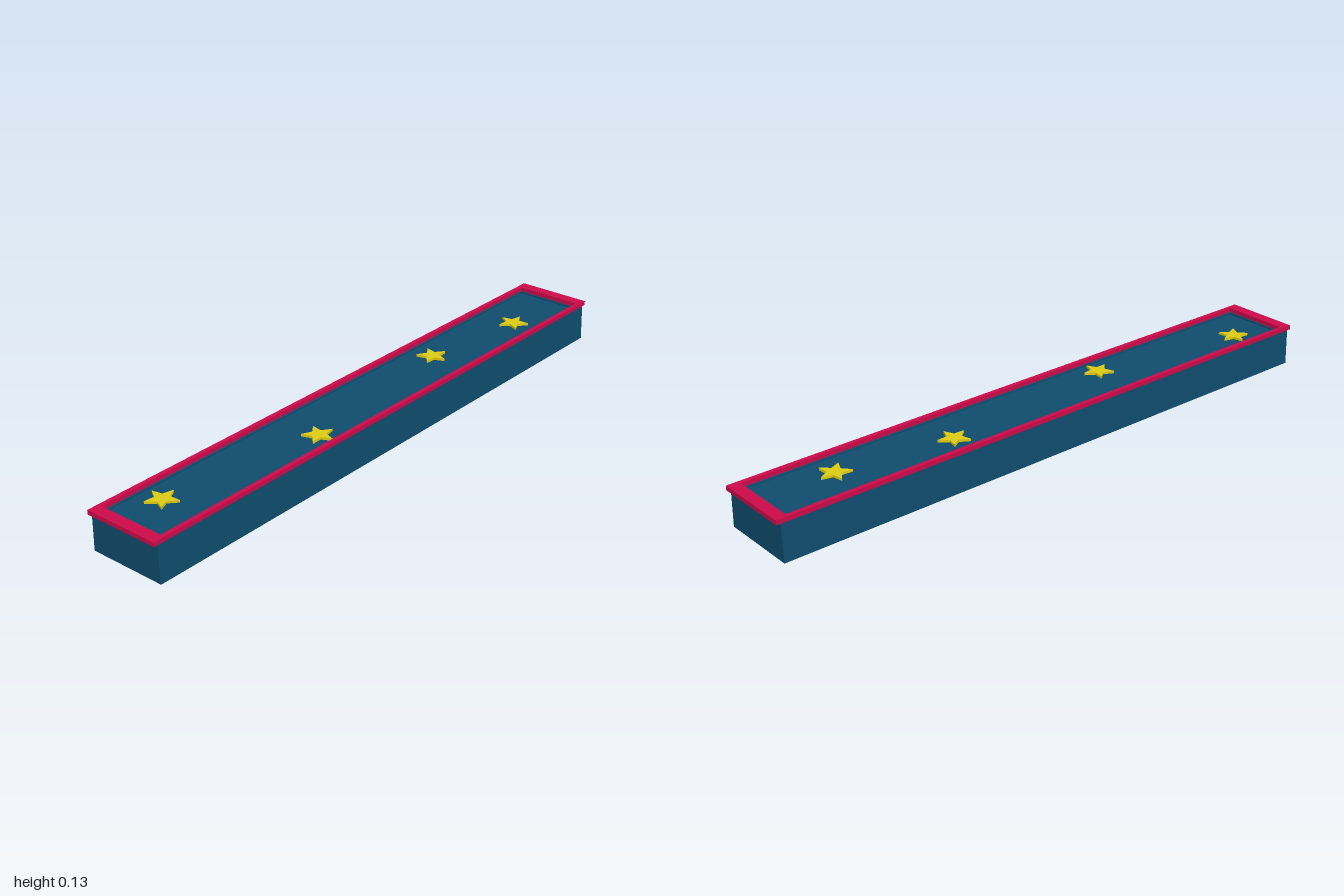
import * as THREE from 'three';

const material = (name, color) => Object.assign(new THREE.MeshStandardMaterial({ color }), { name });

// Rectangle outline from its half width and half depth
const rect = (Type, w, d) =>
  new Type([[-w, -d], [w, -d], [w, d], [-w, d]].map(([x, y]) => new THREE.Vector2(x, y)));

// Extrude a flat outline upwards
const plate = (shape, height) =>
  new THREE.ExtrudeGeometry(shape, { depth: height, bevelEnabled: false }).rotateX(-Math.PI / 2);

// Rectangular ring with a rectangular opening
function frame(w, d, innerW, innerD, height) {
  const shape = rect(THREE.Shape, w, d);
  shape.holes.push(rect(THREE.Path, innerW, innerD));
  return plate(shape, height);
}

function starShape(outer, inner) {
  const points = [];
  for (let i = 0; i < 10; i++) {
    const r = i % 2 ? inner : outer;
    const a = (i * Math.PI) / 5;
    points.push(new THREE.Vector2(r * Math.cos(a), r * Math.sin(a)));
  }
  return new THREE.Shape(points);
}

export function createModel() {
  const blue = material('deep blue', 0x0f4c6c);
  const red = material('crimson', 0xcc0a4a);
  const yellow = material('star yellow', 0xdccb14);

  const group = new THREE.Group();
  group.name = 'starBeam';
  const add = (name, geometry, mat, x, y, z) => {
    const mesh = new THREE.Mesh(geometry, mat);
    mesh.name = name;
    mesh.position.set(x, y, z);
    group.add(mesh);
    return mesh;
  };

  // Body, slightly narrower at the top
  const floorY = 0.113, rimY = 0.118;
  const bodyGeo = new THREE.BoxGeometry(1.974, floorY, 0.254);
  const p = bodyGeo.attributes.position;
  for (let i = 0; i < p.count; i++) if (p.getY(i) > 0) p.setZ(i, Math.sign(p.getZ(i)) * 0.124);
  bodyGeo.computeVertexNormals();
  add('body', bodyGeo, blue, 0, floorY / 2, 0);

  // Low lip around the sunken top panel, capped by the rim
  add('lip', frame(0.987, 0.124, 0.957, 0.105, rimY - floorY), blue, 0, floorY, 0);
  add('rim', frame(1, 0.125, 0.963, 0.111, 0.014), red, 0, rimY, 0);

  // Raised stars: x, z, turn in degrees
  const starGeo = plate(starShape(0.05, 0.022), 0.008);
  [[-0.82, -0.035, 80], [-0.285, 0.046, -85], [0.346, -0.028, -90], [0.722, 0.022, 80]]
    .forEach(([x, z, turn], i) => {
      add(`star${i + 1}`, starGeo, yellow, x, floorY, z).rotation.y = THREE.MathUtils.degToRad(turn);
    });

  return group;
}
